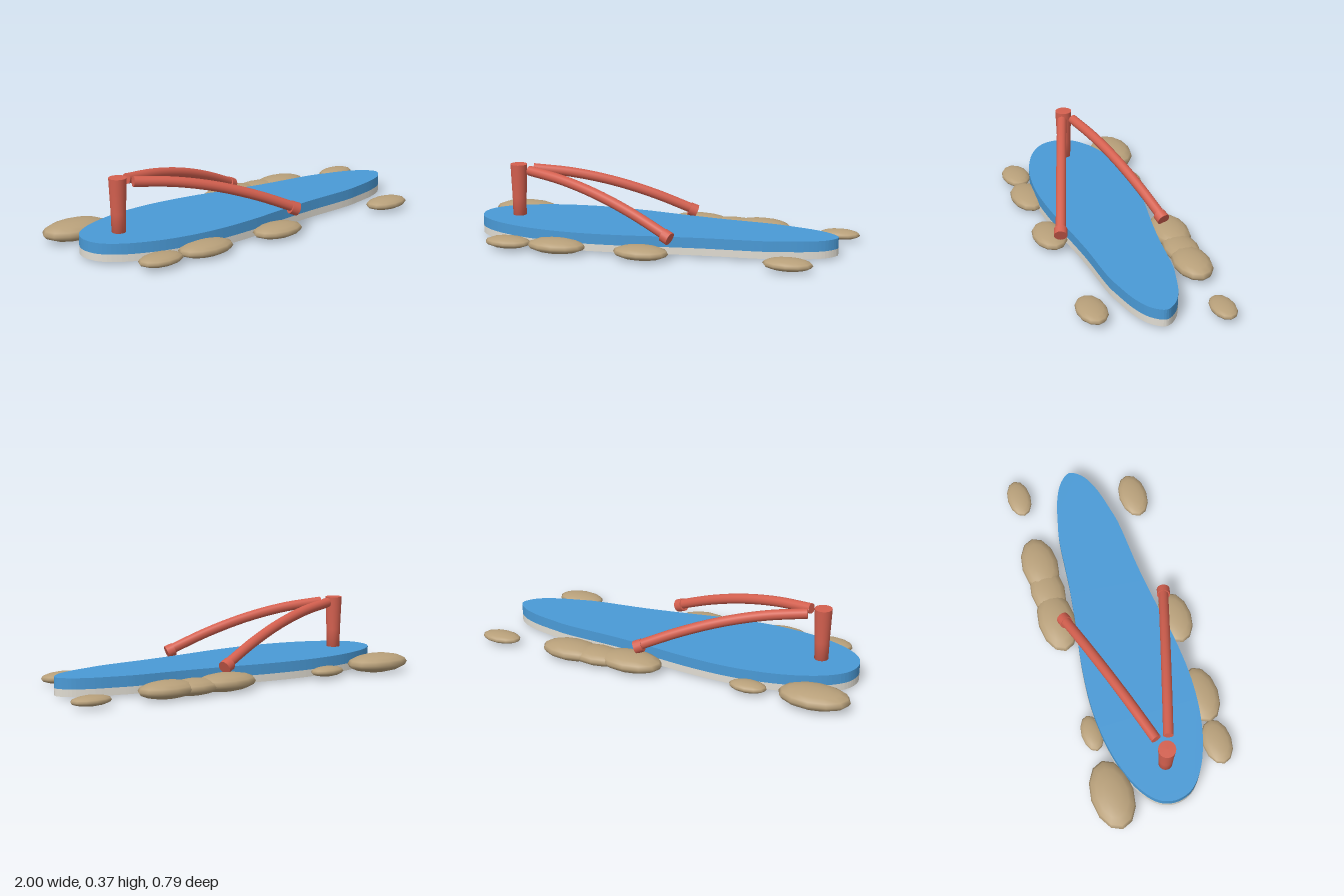
import * as THREE from 'three';

const mat = (name, color) => {
  const m = new THREE.MeshStandardMaterial({ color });
  m.name = name;
  return m;
};

export function createModel() {
  const group = new THREE.Group();
  const blue = mat('blue foam', 0x4a9ad6);
  const white = mat('off-white rubber', 0xe0dcd2);
  const red = mat('coral strap', 0xd4604f);
  const tan = mat('sandy stone', 0xb8a07a);

  const add = (name, geometry, material, parent = group) => {
    const mesh = new THREE.Mesh(geometry, material);
    mesh.name = name;
    parent.add(mesh);
    return mesh;
  };

  // Foot-shaped outline: half widths along the length, mirrored into a closed curve
  const half = [
    [-0.925, 0.085], [-0.84, 0.16], [-0.7, 0.22], [-0.55, 0.253], [-0.37, 0.266], [-0.15, 0.252],
    [0.1, 0.214], [0.3, 0.188], [0.58, 0.163], [0.66, 0.146], [0.8, 0.108], [0.89, 0.06],
  ];
  const side = (s) => half.map(([x, z]) => new THREE.Vector3(x, s * z - 0.004, 0));
  const outline = new THREE.CatmullRomCurve3([
    new THREE.Vector3(-0.95, 0, 0), ...side(-1),
    new THREE.Vector3(0.93, 0, 0), ...side(1).reverse(),
  ], true);
  const shape = new THREE.Shape(outline.getPoints(130).slice(0, -1).map((p) => new THREE.Vector2(p.x, p.y)));
  const slab = (bottom, top) => new THREE.ExtrudeGeometry(shape, { depth: top - bottom, bevelEnabled: false })
    .rotateX(-Math.PI / 2).translate(0, bottom, 0);
  add('footbed', slab(0.05, 0.104), blue);
  add('outsole', slab(0.013, 0.05), white);

  // Toe post, slightly flared at the top
  const post = [[0, 0.1], [0.035, 0.1], [0.037, 0.2], [0.041, 0.3], [0.044, 0.375], [0.044, 0.375], [0, 0.376]];
  add('toePost', new THREE.LatheGeometry(post.map(([r, y]) => new THREE.Vector2(r, y)), 24), red)
    .position.set(-0.755, 0, 0.008);

  // Two arched straps with closed ends and anchor plugs
  const zAxis = new THREE.Vector3(0, 0, 1);
  for (const [name, start, end] of [['frontStrap', 0.037, 0.275], ['backStrap', -0.025, -0.262]]) {
    const strap = new THREE.Group();
    strap.name = name;
    group.add(strap);
    const at = (t, y) => new THREE.Vector3(-0.685 + 0.805 * t, y, start + (end - start) * t);
    const curve = new THREE.CatmullRomCurve3([at(0, 0.35), at(0.25, 0.326), at(0.5, 0.28), at(0.75, 0.212), at(1, 0.125)]);
    add('strapBand', new THREE.TubeGeometry(curve, 32, 0.026, 14), red, strap);
    for (const t of [0, 1]) {
      const cap = add('strapEnd', new THREE.CircleGeometry(0.026, 14), red, strap);
      cap.position.copy(curve.getPoint(t));
      cap.quaternion.setFromUnitVectors(zAxis, curve.getTangent(t).multiplyScalar(t ? 1 : -1));
    }
    const plug = add('strapAnchor', new THREE.CylinderGeometry(0.034, 0.034, 0.042, 16), red, strap);
    plug.position.set(0.118, 0.12, end);
    plug.quaternion.setFromUnitVectors(new THREE.Vector3(0, 1, 0), curve.getTangent(1));
  }

  // Flattened stones along both sides: x, z, radius x, radius z, radius y
  const stones = [
    [-0.82, -0.29, 0.182, 0.11, 0.049], [-0.482, -0.295, 0.097, 0.055, 0.026],
    [0.15, -0.297, 0.172, 0.098, 0.046], [0.33, -0.295, 0.15, 0.09, 0.041],
    [0.48, -0.295, 0.16, 0.096, 0.044], [0.893, -0.295, 0.106, 0.062, 0.025],
    [-0.71, 0.3, 0.12, 0.075, 0.029], [-0.45, 0.3, 0.152, 0.09, 0.037],
    [-0.008, 0.3, 0.142, 0.088, 0.035], [0.73, 0.3, 0.125, 0.075, 0.03],
  ];
  const pebble = new THREE.SphereGeometry(1, 12, 8);
  for (const [x, z, rx, rz, ry] of stones) {
    const stone = add('stone', pebble, tan);
    stone.scale.set(rx, ry, rz);
    stone.position.set(x, Math.max(ry, 0.036) + 0.002, z);
  }
  return group;
}
